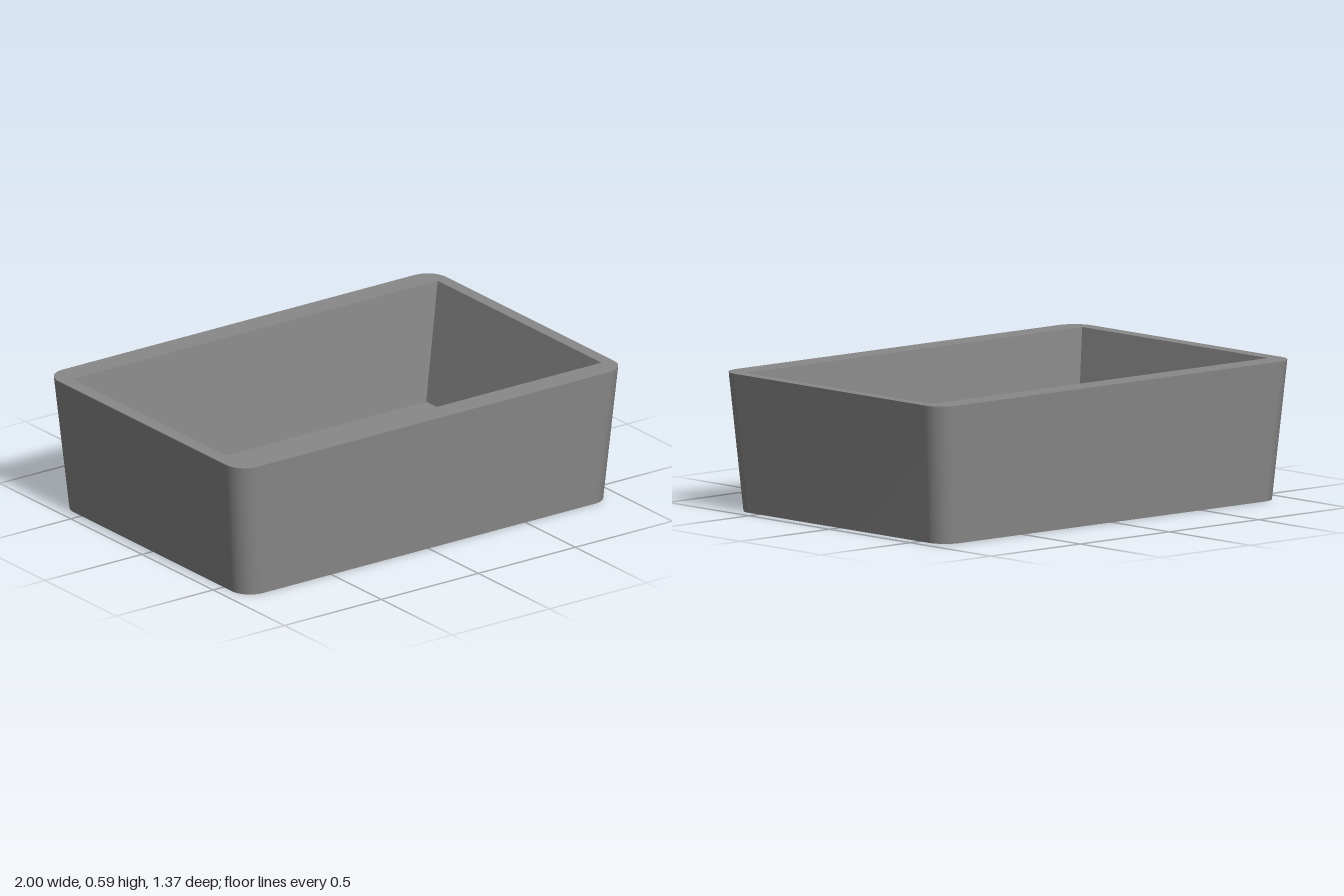
import * as THREE from 'three';

// Rounded rectangle in the xz plane as [x, z] points; radius 0 gives four sharp corners
function ring(x0, x1, z0, z1, r = 0) {
  const points = [];
  const corners = [[x1 - r, z1 - r], [x0 + r, z1 - r], [x0 + r, z0 + r], [x1 - r, z0 + r]];
  const steps = r > 0 ? 12 : 0;
  corners.forEach(([cx, cz], k) => {
    for (let i = 0; i <= steps; i++) {
      const a = (k + (steps ? i / steps : 0)) * Math.PI / 2;
      points.push([cx + r * Math.cos(a), cz + r * Math.sin(a)]);
    }
  });
  return points;
}

// Wall between two rings; it faces outward when the first ring is the lower one
function wall(first, y0, second, y1) {
  const n = first.length;
  const positions = [
    ...first.flatMap(([x, z]) => [x, y0, z]),
    ...second.flatMap(([x, z]) => [x, y1, z]),
  ];
  const index = [];
  for (let i = 0; i < n; i++) {
    const j = (i + 1) % n;
    index.push(i, n + i, j, j, n + i, n + j);
  }
  const geometry = new THREE.BufferGeometry();
  geometry.setAttribute('position', new THREE.Float32BufferAttribute(positions, 3));
  geometry.setIndex(index);
  geometry.computeVertexNormals();
  return geometry;
}

// Flat horizontal panel filling a ring, facing up (1) or down (-1), with an optional hole
function panel(points, y, facing, hole) {
  const toShape = (list) => list.map(([x, z]) => new THREE.Vector2(x, -facing * z));
  const shape = new THREE.Shape(toShape(points));
  if (hole) shape.holes.push(new THREE.Path(toShape(hole)));
  return new THREE.ShapeGeometry(shape).rotateX(-facing * Math.PI / 2).translate(0, y, 0);
}

export function createModel() {
  const height = 0.587;
  const floorY = 0.088;
  const group = new THREE.Group();
  group.name = 'tray';
  const smooth = new THREE.MeshStandardMaterial({ color: 0x888888 });
  const flat = new THREE.MeshStandardMaterial({ color: 0x888888, flatShading: true });

  const add = (name, geometry, material) => {
    const mesh = new THREE.Mesh(geometry, material);
    mesh.name = name;
    group.add(mesh);
  };

  // Outline rings: tapered rounded outside, sharp-cornered cavity
  const outerTop = ring(-1, 1, -0.684, 0.684, 0.095);
  const outerBottom = ring(-0.945, 0.945, -0.646, 0.65, 0.09);
  const innerTop = ring(-0.937, 0.945, -0.574, 0.577);
  const innerBottom = ring(-0.868, 0.845, -0.518, 0.53);

  add('outerWall', wall(outerBottom, 0, outerTop, height), smooth);
  add('innerWall', wall(innerTop, height, innerBottom, floorY), flat);
  add('rim', panel(outerTop, height, 1, innerTop), flat);
  add('cavityFloor', panel(innerBottom, floorY, 1), flat);
  add('base', panel(outerBottom, 0, -1), flat);

  return group;
}
